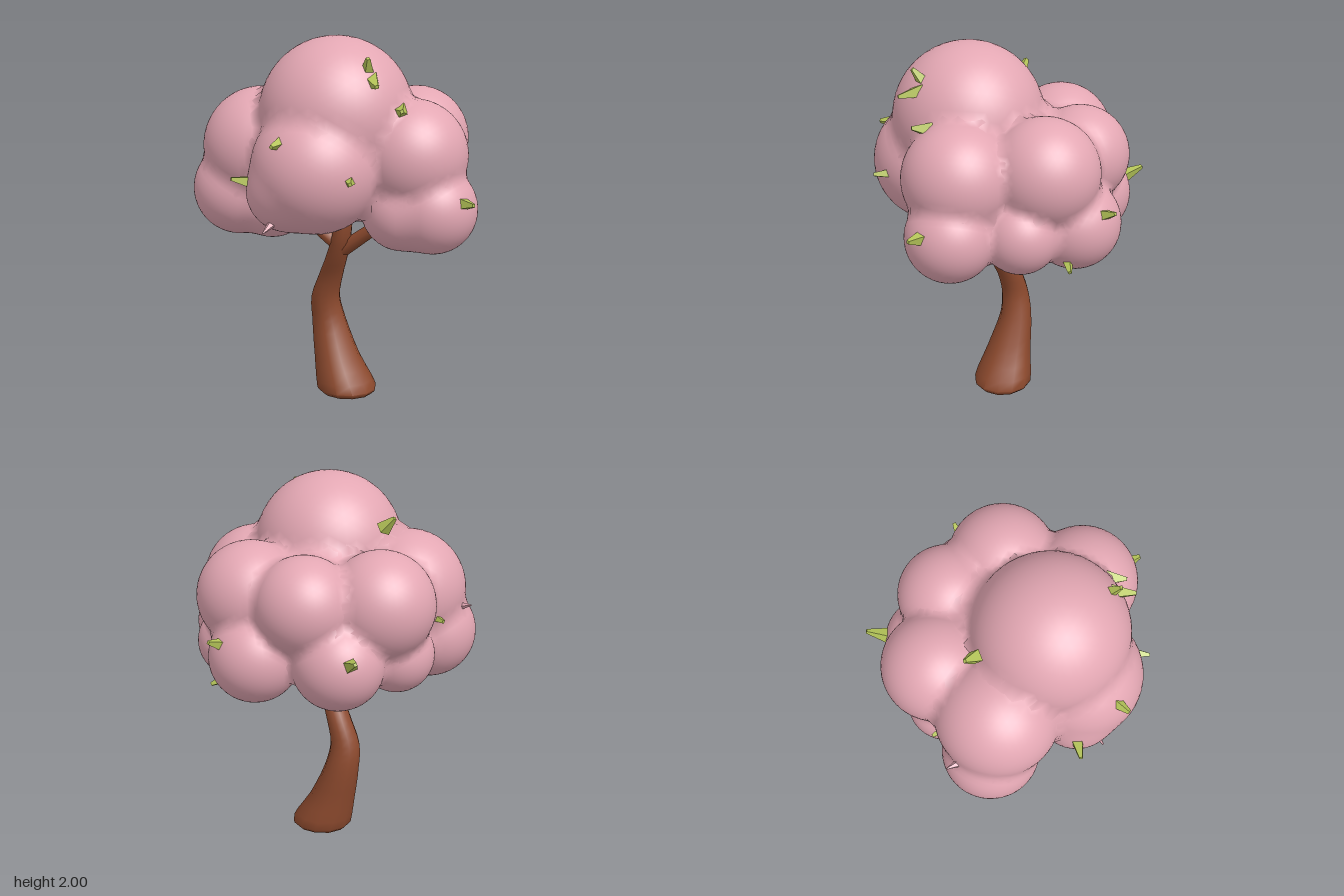
import * as THREE from 'three';
import { toCreasedNormals } from 'three/addons/utils/BufferGeometryUtils.js';

const V = (x, y, z) => new THREE.Vector3(x, y, z);

// Foliage lobes: x, y, z, radius
const lobes = [
  [0.02, 1.6, 0.18, 0.4],                                  // crown
  [-0.02, 1.34, 0.37, 0.335], [-0.15, 1.23, 0.44, 0.21],   // front
  [0.42, 1.4, 0.15, 0.29], [0.54, 1.13, 0.17, 0.232],      // left side
  [0.39, 1.125, 0.19, 0.22],
  [-0.42, 1.4, 0.13, 0.318], [-0.545, 1.165, 0.16, 0.252], // right side
  [-0.36, 1.125, 0.15, 0.22],
  [-0.36, 1.41, -0.26, 0.282], [0, 1.42, -0.41, 0.26], [0.32, 1.42, -0.27, 0.285], // upper back
  [-0.18, 1.14, -0.43, 0.24], [0.26, 1.14, -0.42, 0.24],   // lower back
  [0.45, 1.13, -0.17, 0.2], [-0.43, 1.13, -0.18, 0.2],
  [0, 1.38, -0.08, 0.32],                                  // core
];

// Smoothly blended distance to all lobes
function distance(p) {
  const k = 0.04;
  let d = 10;
  for (const [x, y, z, r] of lobes) {
    const e = Math.hypot(p.x - x, p.y - y, p.z - z) - r;
    const h = Math.max(k - Math.abs(d - e), 0) / k;
    d = Math.min(d, e) - h * h * k * 0.25;
  }
  return d;
}

// A ball whose surface swells outward to meet its neighbours in soft creases
function lobeGeometry([x, y, z, r]) {
  const geo = new THREE.IcosahedronGeometry(1, 8);
  const pos = geo.attributes.position, nor = geo.attributes.normal;
  const c = V(x, y, z), dir = V(0, 0, 0), p = V(0, 0, 0), e = 0.004;
  for (let i = 0; i < pos.count; i++) {
    dir.fromBufferAttribute(pos, i).normalize();
    let t = r;
    for (let s = 0; s < 12; s++) {
      p.copy(c).addScaledVector(dir, t);
      t = Math.min(t + Math.max(-distance(p), 0), r * 1.15);
    }
    p.copy(c).addScaledVector(dir, t);
    pos.setXYZ(i, p.x, p.y, p.z);
    const d = distance(p);
    const n = V(distance(V(p.x + e, p.y, p.z)) - d, distance(V(p.x, p.y + e, p.z)) - d,
      distance(V(p.x, p.y, p.z + e)) - d).normalize();
    nor.setXYZ(i, n.x, n.y, n.z);
  }
  return geo;
}

// Trunk sections from the ground up: [centre], [x radius, z radius]
const sections = [
  [[0.015, 0, 0], [0.145, 0.135]],
  [[0.012, 0.03, 0], [0.168, 0.163]],
  [[-0.055, 0.2, -0.025], [0.128, 0.125]],
  [[-0.115, 0.4, -0.055], [0.096, 0.088]],
  [[-0.13, 0.53, -0.045], [0.082, 0.076]],
  [[-0.09, 0.66, -0.02], [0.069, 0.069]],
  [[-0.035, 0.79, 0.03], [0.06, 0.066]],
  [[0.008, 0.92, 0.07], [0.052, 0.06]],
  [[0.035, 1.08, 0.085], [0.042, 0.042]],
  [[0.045, 1.24, 0.085], [0.036, 0.036]],
];

function trunkGeometry() {
  const centre = new THREE.CatmullRomCurve3(sections.map(s => V(...s[0])));
  const radius = new THREE.CatmullRomCurve3(sections.map(s => V(s[1][0], 0, s[1][1])));
  const geo = new THREE.CylinderGeometry(1, 1, 1, 12, 27);
  const pos = geo.attributes.position;
  for (let i = 0; i < pos.count; i++) {
    const t = THREE.MathUtils.clamp(pos.getY(i) + 0.5, 0, 1);
    const c = centre.getPoint(t), r = radius.getPoint(t);
    pos.setXYZ(i, c.x + pos.getX(i) * r.x, c.y, c.z + pos.getZ(i) * r.z);
  }
  return toCreasedNormals(geo, 0.8);
}

// Tapered limb running from a to b
function limb(name, a, b, r0, r1, sides, material) {
  const from = V(...a), along = V(...b).sub(from);
  const geo = new THREE.CylinderGeometry(r1, r0, along.length(), sides);
  const mesh = new THREE.Mesh(toCreasedNormals(geo, 1), material);
  mesh.name = name;
  mesh.position.copy(from).addScaledVector(along, 0.5);
  mesh.quaternion.setFromUnitVectors(V(0, 1, 0), along.normalize());
  return mesh;
}

export function createModel() {
  const material = (name, color) => {
    const m = new THREE.MeshStandardMaterial({ color });
    m.name = name;
    return m;
  };
  const pink = material('blossom pink', 0xe3a7b3);
  const brown = material('bark brown', 0x8d4a2e);
  const green = material('leaf green', 0xb4c458);

  const tree = new THREE.Group();
  tree.name = 'tree';

  const trunk = new THREE.Mesh(trunkGeometry(), brown);
  trunk.name = 'trunk';
  tree.add(trunk);

  const branches = new THREE.Group();
  branches.name = 'branches';
  branches.add(
    limb('rightBranch', [0, 0.85, 0.055], [-0.24, 1.04, 0.08], 0.042, 0.032, 8, brown),
    limb('leftBranch', [0.01, 0.84, 0.055], [0.28, 1.04, 0.08], 0.042, 0.032, 8, brown));
  tree.add(branches);

  const canopy = new THREE.Group();
  canopy.name = 'canopy';
  for (const lobe of lobes) {
    const mesh = new THREE.Mesh(lobeGeometry(lobe), pink);
    mesh.name = 'foliageLobe';
    canopy.add(mesh);
  }
  tree.add(canopy);

  // Small pointed leaves: root, tip, root radius
  const sprouts = [
    [[-0.32, 1.75, -0.04], [-0.385, 1.815, -0.06], 0.042],
    [[0.27, 1.8, 0.36], [0.335, 1.78, 0.47], 0.045],
    [[0.24, 1.81, 0.34], [0.27, 1.91, 0.41], 0.045],
    [[0.4, 1.64, 0.29], [0.435, 1.655, 0.38], 0.048],
    [[-0.1, 1.51, 0.57], [-0.12, 1.5, 0.705], 0.046],
    [[-0.31, 1.28, 0.53], [-0.39, 1.305, 0.595], 0.04],
    [[0.22, 1.33, 0.54], [0.26, 1.33, 0.64], 0.036],
    [[0.69, 1.19, 0.25], [0.79, 1.2, 0.32], 0.05],
    [[-0.28, 1.2, -0.61], [-0.335, 1.25, -0.72], 0.044],
    [[0.37, 1.23, -0.55], [0.43, 1.27, -0.64], 0.044],
    [[0.4, 1.01, -0.4], [0.5, 0.965, -0.43], 0.036],
    [[-0.56, 1.32, -0.05], [-0.66, 1.3, -0.11], 0.036],
  ];
  const leaves = new THREE.Group();
  leaves.name = 'leaves';
  for (const [a, b, r] of sprouts) leaves.add(limb('leaf', a, b, r, 0.012, 4, green));
  tree.add(leaves);

  // Pink buds
  canopy.add(
    limb('bud', [-0.71, 1.33, 0.09], [-0.78, 1.35, 0.05], 0.026, 0.004, 5, pink),
    limb('bud', [-0.17, 1.1, 0.56], [-0.2, 1.05, 0.64], 0.028, 0.004, 5, pink));
  return tree;
}
